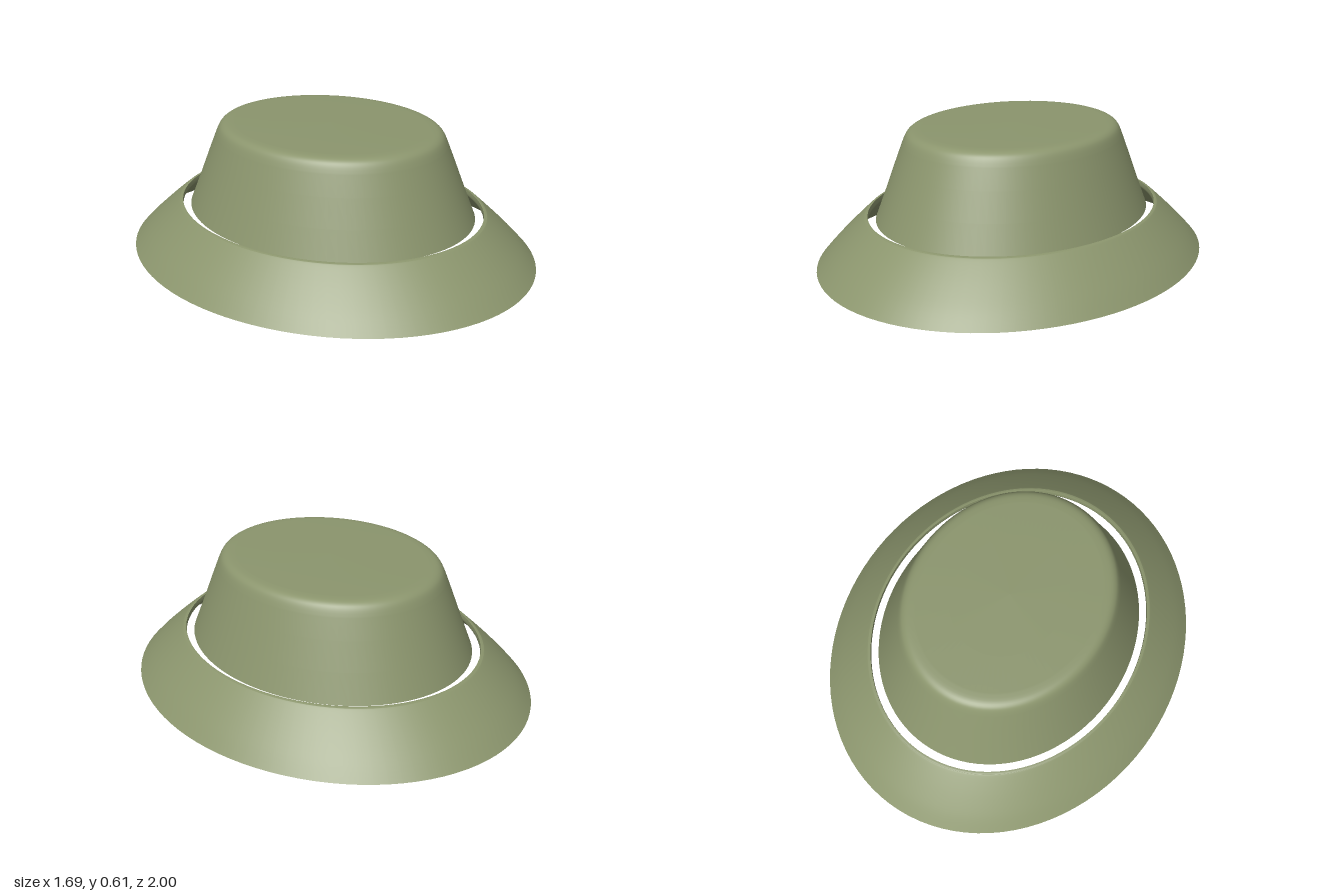
import * as THREE from 'three';
import { mergeGeometries } from 'three/addons/utils/BufferGeometryUtils.js';

const OVAL = 0.845; // width of the hat relative to its depth

// Turns each profile separately (sharp edges between them), then makes the result oval.
function ovalLathe(profiles) {
  const parts = profiles.map((p) =>
    new THREE.LatheGeometry(p.map(([r, y]) => new THREE.Vector2(r, y)), 96));
  return mergeGeometries(parts).scale(OVAL, 1, 1);
}

// Smooth curve through a few profile points.
function smooth(points, n) {
  const curve = new THREE.SplineCurve(points.map(([r, y]) => new THREE.Vector2(r, y)));
  return curve.getPoints(n).map((v) => [v.x, v.y]);
}

export function createModel() {
  const hat = new THREE.Group();
  hat.name = 'bucketHat';
  const cloth = new THREE.MeshStandardMaterial({ color: 0x8b956d, side: THREE.DoubleSide });

  // Crown: flat base, tapering wall, rounded shoulder and nearly flat top
  const base = [[0, 0.2], [0.704, 0.2]];
  const wall = [
    [0.704, 0.2], [0.65, 0.33], [0.6, 0.455],
    ...smooth([[0.563, 0.545], [0.549, 0.574], [0.534, 0.592], [0.51, 0.603], [0.47, 0.607]], 14),
    [0.3, 0.61], [0, 0.613],
  ];
  const crown = new THREE.Mesh(ovalLathe([base, wall]), cloth);
  crown.name = 'crown';

  // Brim: sloping ring, thin at the outer rim, with a short wall around the opening
  const upper = smooth([[1, 0], [0.935, 0.066], [0.85, 0.143], [0.77, 0.211], [0.756, 0.22], [0.744, 0.222]], 24);
  const lower = smooth([[0.744, 0.222], [0.744, 0.196], [0.765, 0.18], [0.85, 0.112], [0.935, 0.046], [1, 0]], 24);
  const brim = new THREE.Mesh(ovalLathe([upper, lower]), cloth);
  brim.name = 'brim';

  hat.add(crown, brim);
  return hat;
}
